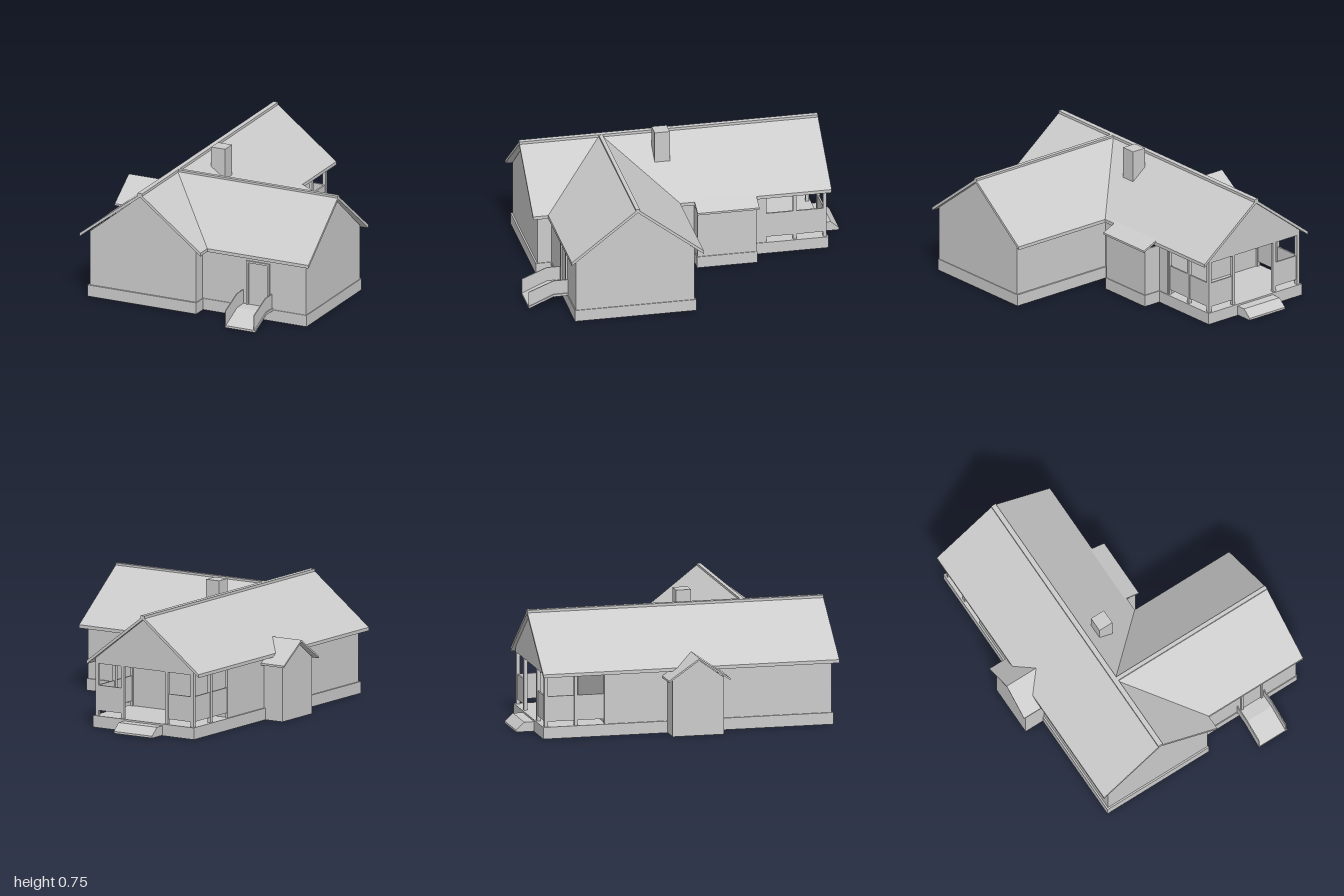
import * as THREE from 'three';

const material = new THREE.MeshStandardMaterial({ color: 0xcccccc, flatShading: true, side: THREE.DoubleSide });
const RIDGE_X = -0.275, WING_Z = 0.4, PITCH = 0.77, PEAK = 0.697;

export function createModel() {
  const house = new THREE.Group();
  house.name = 'house';

  function add(name, geometry, parent = house) {
    const mesh = new THREE.Mesh(geometry, material);
    mesh.name = name;
    parent.add(mesh);
    return mesh;
  }
  // box given by its limits on each axis
  function box(name, x0, x1, y0, y1, z0, z1, parent) {
    const g = new THREE.BoxGeometry(x1 - x0, y1 - y0, z1 - z0);
    g.translate((x0 + x1) / 2, (y0 + y1) / 2, (z0 + z1) / 2);
    return add(name, g, parent);
  }
  // straight wall pieces following a plan path of [x, z] points
  function run(name, path, y0, y1, t) {
    const group = new THREE.Group();
    group.name = name;
    house.add(group);
    const h = t / 2;
    for (let i = 1; i < path.length; i++) {
      const [ax, az] = path[i - 1], [bx, bz] = path[i];
      box(name + 'Piece', Math.min(ax, bx) - h, Math.max(ax, bx) + h, y0, y1,
        Math.min(az, bz) - h, Math.max(az, bz) + h, group);
    }
  }
  const shape = pts => new THREE.Shape(pts.map(p => new THREE.Vector2(p[0], p[1])));
  // roof slab: plan outline of [x, z], lifted so that its top follows height(x, z)
  function slab(name, plan, height, t = 0.02) {
    const g = new THREE.ExtrudeGeometry(shape(plan.map(([x, z]) => [x, -z])), { depth: t, bevelEnabled: false });
    g.rotateX(-Math.PI / 2);
    const p = g.attributes.position;
    for (let i = 0; i < p.count; i++) p.setY(i, p.getY(i) - t + height(p.getX(i), p.getZ(i)));
    g.computeVertexNormals();
    add(name, g);
  }
  // thin upright panel; outline in [across, up], across is x, or z when side is true
  function panel(name, pts, at, t = 0.01, side = false) {
    const g = new THREE.ExtrudeGeometry(shape(side ? pts.map(([z, y]) => [-z, y]) : pts), { depth: t, bevelEnabled: false });
    g.translate(0, 0, at - t / 2);
    if (side) g.rotateY(Math.PI / 2);
    add(name, g);
  }

  // foundation ring
  run('foundation', [[-0.62, 0.17], [-0.62, 0.85], [0.07, 0.85], [0.07, 0.76], [0.745, 0.76], [0.745, 0.055],
    [0.07, 0.055], [0.07, -0.09], [0.18, -0.09], [0.18, -0.43], [0.07, -0.43], [0.07, -0.88],
    [-0.62, -0.88], [-0.62, -0.14]], 0, 0.07, 0.02);

  // outer walls
  run('frontWalls', [[-0.615, 0.17], [-0.615, 0.845], [0.07, 0.845], [0.07, 0.76], [0.745, 0.76], [0.745, 0.06],
    [0.07, 0.06], [0.07, -0.09]], 0.07, 0.405, 0.01);
  run('backWalls', [[0.07, -0.43], [0.07, -0.505], [-0.615, -0.505], [-0.615, -0.14]], 0.07, 0.405, 0.01);
  run('rightBayWalls', [[0.07, -0.09], [0.18, -0.09], [0.18, -0.43], [0.07, -0.43]], 0.07, 0.357, 0.01);
  run('leftBayWalls', [[-0.62, -0.135], [-0.745, -0.135], [-0.745, 0.165], [-0.62, 0.165]], 0, 0.345, 0.01);

  // gables
  const mainGable = [[-0.62, 0.4], [0.07, 0.4], [RIDGE_X, 0.68]];
  panel('frontGable', mainGable, 0.845);
  panel('backGable', [[-0.62, 0.38], [0.07, 0.38], [0.07, 0.41], [RIDGE_X, 0.68], [-0.62, 0.41]], -0.875);
  panel('wingGable', [[0.055, 0.4], [0.765, 0.4], [WING_Z, 0.68]], 0.745, 0.01, true);
  panel('leftBayGable', [[-0.14, 0.34], [0.17, 0.34], [0.015, 0.452]], -0.745, 0.01, true);

  // main roof, notched on the right where the wing roof meets it
  const mainTop = x => PEAK - PITCH * Math.abs(x - RIDGE_X);
  const wingTop = (x, z) => PEAK - PITCH * Math.abs(z - WING_Z);
  slab('mainRoofLeft', [[-0.67, -0.9], [RIDGE_X, -0.9], [RIDGE_X, 0.885], [-0.67, 0.885]], mainTop);
  slab('mainRoofRight', [[RIDGE_X, -0.9], [0.12, -0.9], [0.12, 0.005], [RIDGE_X, WING_Z], [0.12, 0.795],
    [0.12, 0.885], [RIDGE_X, 0.885]], mainTop);
  for (const s of [-1, 1]) {
    const eave = WING_Z + s * 0.395;
    slab('wingRoof', [[RIDGE_X, WING_Z], [0.78, WING_Z], [0.78, eave], [0.12, eave]], wingTop);
  }
  box('mainRidgeCap', -0.29, -0.26, 0.685, 0.701, -0.9, 0.885);
  box('wingRidgeCap', -0.27, 0.78, 0.685, 0.7, 0.388, 0.412);

  // bay roofs
  const bayTop = (x, z) => 0.466 - 0.68 * Math.abs(z - 0.015);
  for (const s of [-1, 1]) {
    slab('leftBayRoof', [[-0.78, 0.015], [-0.572, 0.015], [-0.62, 0.015 + s * 0.055],
      [-0.62, 0.015 + s * 0.185], [-0.78, 0.015 + s * 0.185]], bayTop, 0.012);
  }
  slab('rightBayRoof', [[0.07, -0.45], [0.205, -0.45], [0.205, -0.08], [0.07, -0.08]],
    x => 0.397 - 0.45 * (x - 0.12), 0.012);

  box('chimney', -0.195, -0.105, 0.54, 0.755, 0.02, 0.11);

  // back porch
  box('porchFloor', -0.62, 0.07, 0.05, 0.07, -0.88, -0.5);
  box('porchCeiling', -0.62, 0.07, 0.38, 0.388, -0.88, -0.5);
  for (const x of [-0.61, 0.06]) {
    for (const z of [-0.51, -0.69, -0.87]) box('porchPost', x - 0.01, x + 0.01, 0.07, 0.39, z - 0.01, z + 0.01);
    box('porchSideRail', x - 0.005, x + 0.005, 0.1, 0.25, -0.87, -0.51);
    box('porchSideBeam', x - 0.01, x + 0.01, 0.38, 0.41, -0.88, -0.5);
  }
  for (const x of [-0.43, -0.12]) box('porchPost', x - 0.01, x + 0.01, 0.07, 0.39, -0.88, -0.86);
  for (const [a, b] of [[-0.61, -0.43], [-0.12, 0.06]]) box('porchBackRail', a, b, 0.1, 0.25, -0.875, -0.865);
  slab('porchStep', [[-0.41, -1], [-0.14, -1], [-0.14, -0.95], [-0.41, -0.95]], (x, z) => 0.06 + (z + 0.95) * 0.9, 0.012);
  box('porchStepTop', -0.41, -0.14, 0.046, 0.06, -0.95, -0.88);
  for (const x of [-0.405, -0.145]) {
    panel('porchStepSide', [[-1, 0.003], [-0.88, 0.003], [-0.88, 0.06], [-0.95, 0.06], [-1, 0.014]], x, 0.01, true);
  }

  // front door with its frame
  box('door', 0.37, 0.51, 0.08, 0.34, 0.76, 0.767);
  for (const x of [0.363, 0.5]) box('doorFrameSide', x, x + 0.014, 0.07, 0.35, 0.76, 0.775);
  box('doorFrameTop', 0.363, 0.514, 0.338, 0.35, 0.76, 0.775);

  // front landing, sloping steps and side panels
  box('landing', 0.337, 0.535, 0.065, 0.08, 0.765, 0.85);
  slab('frontSteps', [[0.337, 0.85], [0.535, 0.85], [0.535, 1], [0.337, 1]], (x, z) => 0.08 - (z - 0.85) * 0.43, 0.013);
  for (const x of [0.339, 0.525]) {
    panel('stepSidePanel', [[0.765, 0.07], [0.85, 0.07], [1, 0.008], [1, 0.105], [0.85, 0.165], [0.765, 0.165]], x, 0.006, true);
  }
  return house;
}
